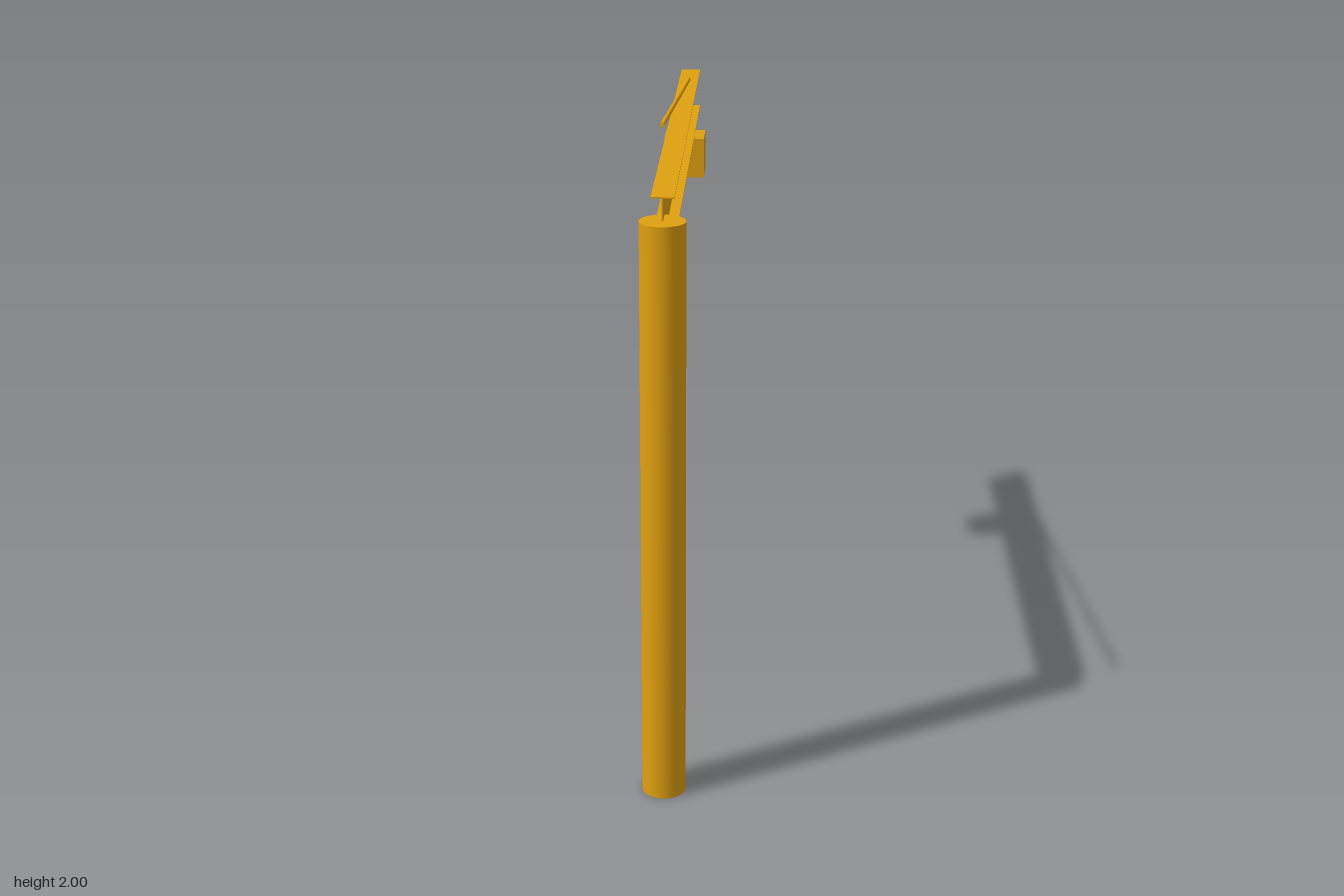
import * as THREE from 'three';

export function createModel() {
  const group = new THREE.Group();
  const yellow = new THREE.MeshStandardMaterial({ color: 0xe0a010 });
  yellow.name = 'safetyYellow';

  const add = (name, geometry, x, y, z) => {
    const mesh = new THREE.Mesh(geometry, yellow);
    mesh.name = name;
    mesh.position.set(x, y, z);
    group.add(mesh);
    return mesh;
  };

  // Round column
  const postZ = 0.834, postHeight = 1.733;
  add('column', new THREE.CylinderGeometry(0.064, 0.064, postHeight, 40), 0, postHeight / 2, postZ);

  // I-section jib beam, running back from the column axis
  const beamBack = -0.898, bottom = 1.67, top = 1.798, plate = 0.004, width = 0.064;
  const length = postZ - beamBack, beamZ = (postZ + beamBack) / 2;
  const beam = new THREE.Shape();
  const w = width / 2, t = plate / 2;
  const half = [[w, bottom], [w, bottom + plate], [t, bottom + plate], [t, top - plate], [w, top - plate], [w, top]];
  const outline = [...half, ...half.map(([x, y]) => [-x, y]).reverse()];
  beam.setFromPoints(outline.map(([x, y]) => new THREE.Vector2(x, y)));
  const beamGeometry = new THREE.ExtrudeGeometry(beam, { depth: length, bevelEnabled: false });
  beamGeometry.translate(0, 0, -length / 2);
  add('jibBeam', beamGeometry, 0, 0, beamZ);

  // Hoist trolley under the beam
  add('hoistTrolley', new THREE.BoxGeometry(0.129, 0.129, 0.129), 0, bottom - 0.0645, -0.463);

  // Sloping tie rod
  const a = new THREE.Vector3(0, 1.9935, postZ), b = new THREE.Vector3(0, 1.799, -0.722);
  const mid = a.clone().add(b).multiplyScalar(0.5);
  const rod = add('tieRod', new THREE.CylinderGeometry(0.0065, 0.0065, a.distanceTo(b), 20), mid.x, mid.y, mid.z);
  rod.quaternion.setFromUnitVectors(new THREE.Vector3(0, 1, 0), a.clone().sub(b).normalize());

  return group;
}
